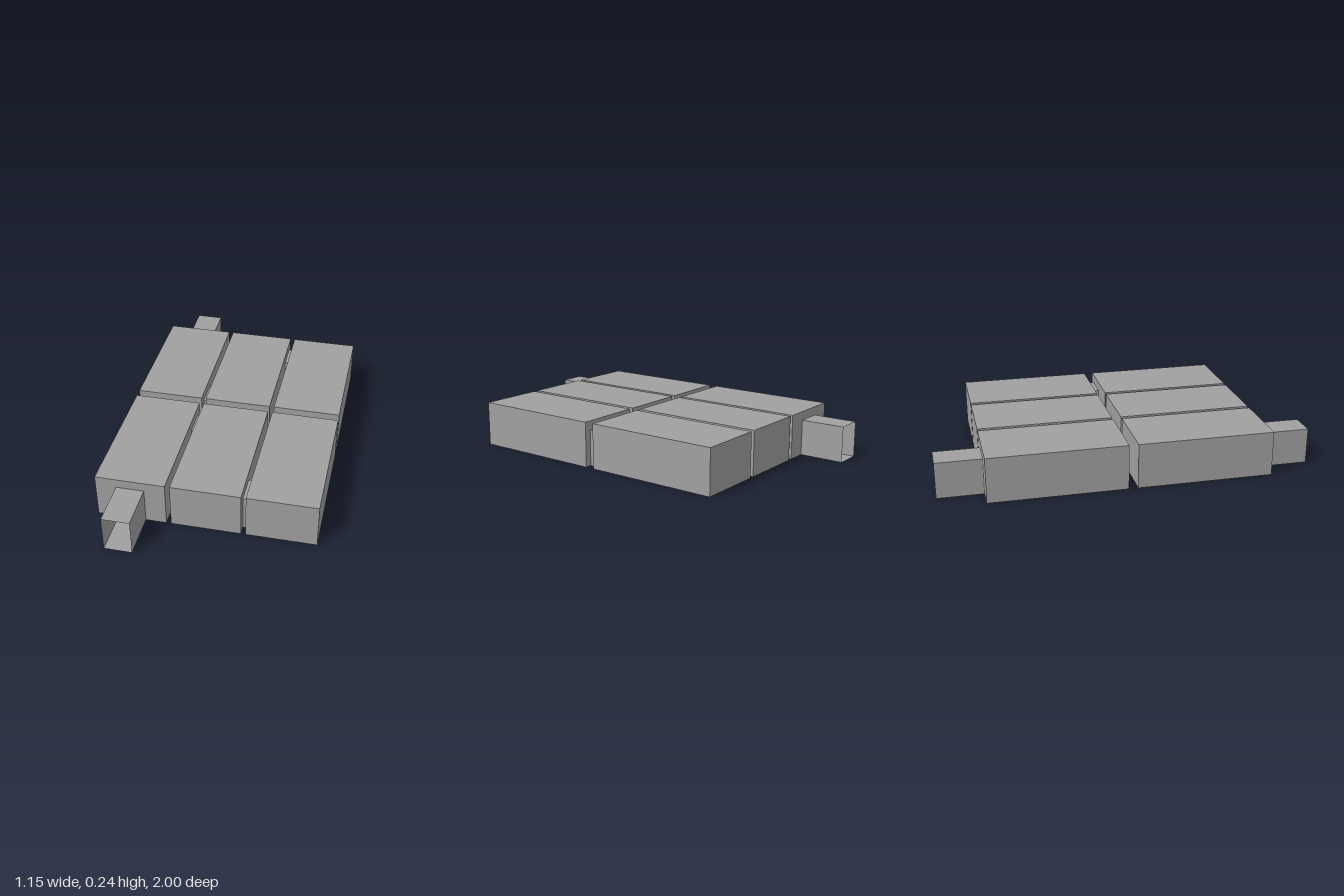
import * as THREE from 'three';

// Everything sits on a grid of 41 cells from the centre to each end
const U = 1 / 41;
const ROOM = { w: 15, h: 10, d: 30 };
const PASSAGE = { w: 6, h: 8 };

const grey = new THREE.MeshStandardMaterial({ color: 0xa0a0a0, side: THREE.DoubleSide });
grey.name = 'grey';

// Closed block standing on the ground
function room(x, z) {
  const geo = new THREE.BoxGeometry(ROOM.w * U, ROOM.h * U, ROOM.d * U);
  geo.translate(x * U, ROOM.h * U / 2, z * U);
  const mesh = new THREE.Mesh(geo, grey);
  mesh.name = 'room';
  return mesh;
}

// Thin-walled square tube, open at both ends, running along z or x
function passage(name, x, z, length, alongX = false) {
  const geo = new THREE.BoxGeometry(PASSAGE.w * U, PASSAGE.h * U, length * U);
  // The first four faces are the sides, top and floor; drop the two ends
  geo.setIndex(Array.from(geo.index.array).slice(0, 24));
  geo.clearGroups();
  if (alongX) geo.rotateY(Math.PI / 2);
  geo.translate(x * U, PASSAGE.h * U / 2, z * U);
  const mesh = new THREE.Mesh(geo, grey);
  mesh.name = name;
  return mesh;
}

export function createModel() {
  const model = new THREE.Group();
  model.name = 'connectedRooms';

  for (const side of [-1, 1]) {
    // Three rooms in each row
    for (const x of [-16, 0, 16]) model.add(room(x, side * 16));
    // Open entrance at each end
    model.add(passage('entrancePassage', -16, side * 36, 10));
    // Links between neighbouring rooms
    model.add(passage('innerLink', -8, side * 6, 1, true));
    model.add(passage('outerLink', 8, side * 26, 1, true));
  }

  // Link between the two rows
  model.add(passage('rowLink', 19, 0, 2));
  return model;
}
